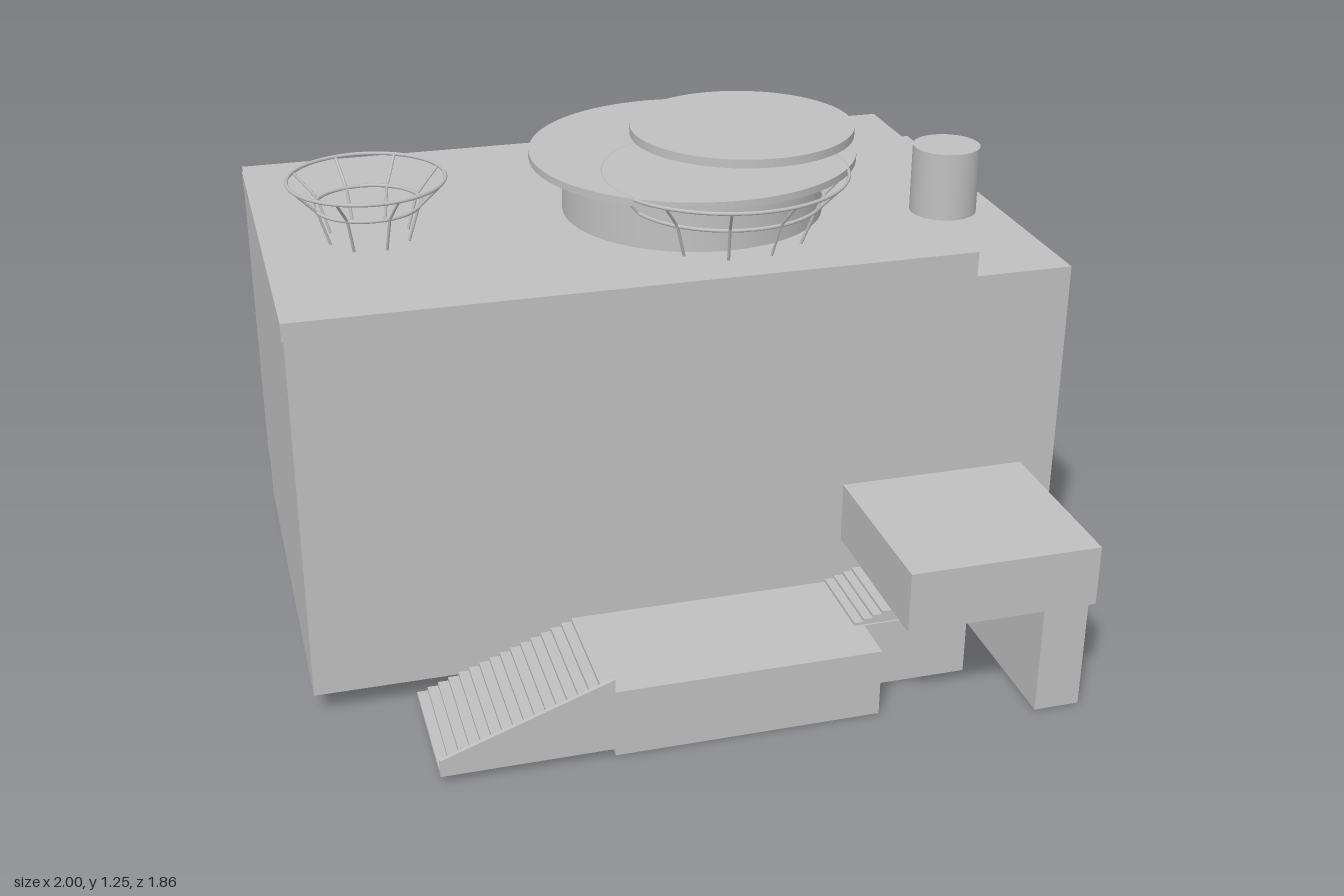
import * as THREE from 'three';

const grey = new THREE.MeshStandardMaterial({ color: 0xc0c0c0 });
grey.name = 'concrete grey';

export function createModel() {
  const model = new THREE.Group();
  model.name = 'building';

  const add = (name, geometry, parent = model) => {
    const mesh = new THREE.Mesh(geometry, grey);
    mesh.name = name;
    parent.add(mesh);
    return mesh;
  };
  // Box given by its minimum and maximum on each axis
  const box = (name, x0, x1, y0, y1, z0, z1) =>
    add(name, new THREE.BoxGeometry(x1 - x0, y1 - y0, z1 - z0))
      .position.set((x0 + x1) / 2, (y0 + y1) / 2, (z0 + z1) / 2);
  const disc = (name, x, z, r, y0, y1) =>
    add(name, new THREE.CylinderGeometry(r, r, y1 - y0, 64)).position.set(x, (y0 + y1) / 2, z);
  // Side outline in x and y, extruded from z0 to z1
  const slab = (name, points, z0, z1) => {
    const shape = new THREE.Shape(points.map(([x, y]) => new THREE.Vector2(x, y)));
    add(name, new THREE.ExtrudeGeometry(shape, { depth: z1 - z0, bevelEnabled: false })).position.z = z0;
  };

  // Main volumes and stepped roof
  box('mainHall', -0.995, 1, 0.065, 1.022, -0.65, 0.46);
  box('rearHall', -0.985, 1, 0.065, 1.007, -0.932, -0.65);
  box('roofTerrace', -0.995, 0.74, 1.022, 1.042, -0.648, 0.46);

  // Parapet along the left and front roof edges
  box('leftParapet', -1, -0.983, 1.042, 1.088, -0.648, 0.46);
  box('frontParapet', -0.983, 0.74, 1.042, 1.088, 0.443, 0.46);

  // Roof drum with two overlapping discs, and a small free cylinder
  disc('roofDrum', 0.175, -0.18, 0.355, 1.04, 1.188);
  disc('lowerDisc', 0.175, -0.183, 0.443, 1.188, 1.208);
  disc('upperDisc', 0.33, -0.23, 0.308, 1.222, 1.246);
  disc('roofCylinder', 0.825, 0.03, 0.09, 1.042, 1.226);

  // Open flared frames: two rings joined by leaning struts
  const frame = (name, x, z, topR, midR, footR, count) => {
    const group = new THREE.Group();
    group.name = name;
    group.position.set(x, 0, z);
    model.add(group);
    for (const [r, y] of [[topR, 1.204], [midR, 1.136]]) {
      const ring = add('ring', new THREE.TorusGeometry(r, 0.005, 6, 64), group);
      ring.rotation.x = Math.PI / 2;
      ring.position.y = y;
    }
    for (let i = 0; i < count; i++) {
      const a = THREE.MathUtils.degToRad(-16) + (i / count) * Math.PI * 2;
      const at = (r, y) => new THREE.Vector3(Math.cos(a) * r, y, Math.sin(a) * r);
      const path = new THREE.CurvePath();
      path.add(new THREE.LineCurve3(at(topR, 1.204), at(midR, 1.136)));
      path.add(new THREE.LineCurve3(at(midR, 1.136), at(footR, 1.042)));
      add('strut', new THREE.TubeGeometry(path, 8, 0.004, 6), group);
    }
  };
  frame('smallRoofFrame', -0.71, -0.165, 0.205, 0.14, 0.11, 8);
  frame('largeRoofFrame', 0.205, 0.02, 0.325, 0.262, 0.225, 12);

  // Entrance canopy on its side wall
  box('canopy', 0.405, 0.905, 0.31, 0.472, 0.46, 0.93);
  box('canopyWall', 0.78, 0.9, 0, 0.31, 0.46, 0.905);

  // Raised landing and its recessed continuation
  box('landing', -0.3, 0.39, 0, 0.185, 0.46, 0.815);
  box('recessedLanding', 0.39, 0.675, 0, 0.185, 0.46, 0.69);

  // Stairs rising toward +x
  const stairs = (name, x0, x1, base, y0, y1, count, z0, z1) => {
    const points = [[x1, base], [x1, y1]];
    for (let i = count; i > 0; i--) {
      const x = x0 + ((x1 - x0) * (i - 1)) / count;
      points.push([x, y0 + ((y1 - y0) * i) / count]);
      points.push([x, i > 1 ? y0 + ((y1 - y0) * (i - 1)) / count : base]);
    }
    slab(name, points.reverse(), z0, z1);
  };
  stairs('lowerStairs', -0.735, -0.3, 0.02, 0.02, 0.185, 16, 0.46, 0.805);
  stairs('upperStairs', 0.365, 0.765, 0.18, 0.185, 0.31, 16, 0.46, 0.685);

  // Sloped side wall of the lower stairs
  slab('stairSideWall', [[-0.735, 0.02], [-0.3, 0.02], [-0.3, 0.222], [-0.735, 0.065]], 0.805, 0.816);

  return model;
}
